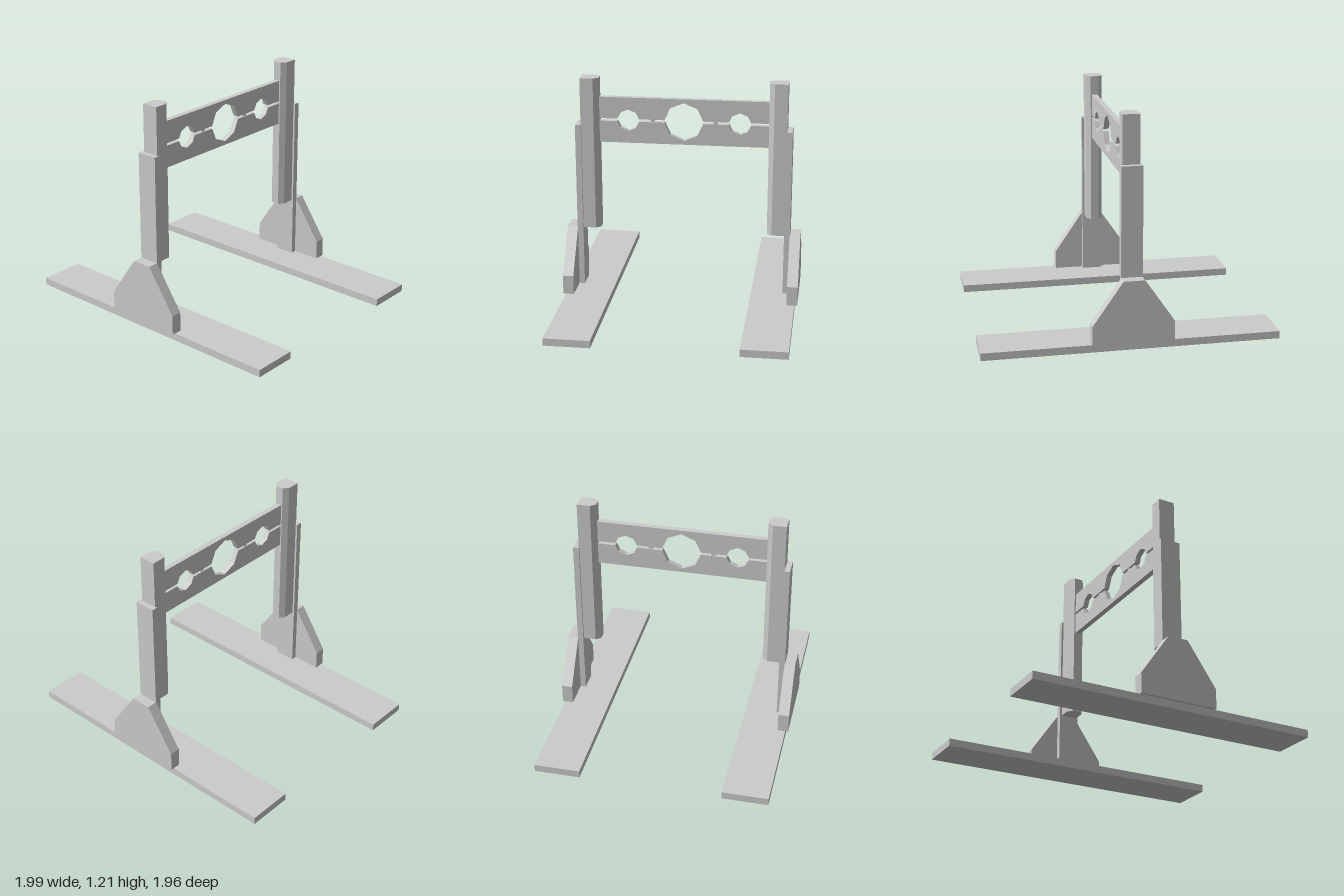
import * as THREE from 'three';

const material = new THREE.MeshStandardMaterial({ color: 0xcccccc, flatShading: true });

function addMesh(parent, name, geometry) {
  const mesh = new THREE.Mesh(geometry, material);
  mesh.name = name;
  parent.add(mesh);
  return mesh;
}

// Box given by its minimum and maximum corners
function boxBetween(x0, x1, y0, y1, z0, z1) {
  return new THREE.BoxGeometry(x1 - x0, y1 - y0, z1 - z0)
    .translate((x0 + x1) / 2, (y0 + y1) / 2, (z0 + z1) / 2);
}

function extrude(points, depth) {
  const shape = new THREE.Shape(points.map(([x, y]) => new THREE.Vector2(x, y)));
  return new THREE.ExtrudeGeometry(shape, { depth, bevelEnabled: false });
}

const MID = 0.98;      // height of the seam between the boards
const GAP = 0.007;     // half the gap at the seam
const THICK = 0.03;    // board thickness
const HOLES = [[-0.3, 0.059], [0, 0.104], [0.3, 0.059]];

// Board with half-octagon cutouts along the seam; dir is +1 for upper, -1 for lower
function boardGeometry(dir) {
  const half = 0.475;
  const outer = MID + dir * 0.125;
  const seam = MID + dir * GAP;
  const points = [[-half, outer], [-half, seam]];
  for (const [cx, r] of HOLES) {
    for (let i = 0; i <= 4; i++) {
      const a = Math.PI * (1 - i / 4);
      points.push([cx + r * Math.cos(a), MID + dir * Math.max(GAP, r * Math.sin(a))]);
    }
  }
  points.push([half, seam], [half, outer]);
  return extrude(points, THICK).translate(0, 0, -THICK / 2);
}

// One end of the frame, built on the +x side
function createSide(name) {
  const side = new THREE.Group();
  side.name = name;

  addMesh(side, 'foot', boxBetween(0.378, 0.622, 0, 0.04, -0.778, 0.778));
  addMesh(side, 'outerUpright', boxBetween(0.55, 0.582, 0.04, 0.955, -0.056, 0.056));

  // Post with its two inner corners chamfered
  const section = [
    [0.553, -0.045], [0.553, 0.045], [0.482, 0.045],
    [0.455, 0.022], [0.455, -0.022], [0.482, -0.045],
  ];
  // Stand the extrusion up: shape y becomes -z, depth becomes y
  addMesh(side, 'post', extrude(section, 0.84).rotateX(-Math.PI / 2).translate(0, 0.37, 0));

  // Tapered brace on the outside of the upright
  const brace = [
    [-0.213, 0.04], [0.213, 0.04], [0.213, 0.145],
    [0.055, 0.375], [-0.055, 0.375], [-0.213, 0.145],
  ];
  addMesh(side, 'brace', extrude(brace, 0.058).rotateY(Math.PI / 2).translate(0.58, 0, 0));
  return side;
}

export function createModel() {
  const model = new THREE.Group();
  model.name = 'pillory';

  const frame = new THREE.Group();
  frame.name = 'frame';
  frame.rotation.y = 0.85;
  model.add(frame);

  // The two ends are alike, turned to face each other
  const left = createSide('leftEnd');
  const right = createSide('rightEnd');
  right.rotation.y = Math.PI;
  frame.add(left, right);

  addMesh(frame, 'upperBoard', boardGeometry(1));
  addMesh(frame, 'lowerBoard', boardGeometry(-1));

  // Small pegs bridging the gap between the boards
  for (const x of [-0.168, 0.168]) {
    addMesh(frame, 'peg', boxBetween(x - 0.01, x + 0.01, MID - 0.015, MID + 0.015, -0.01, 0.01));
  }
  return model;
}
